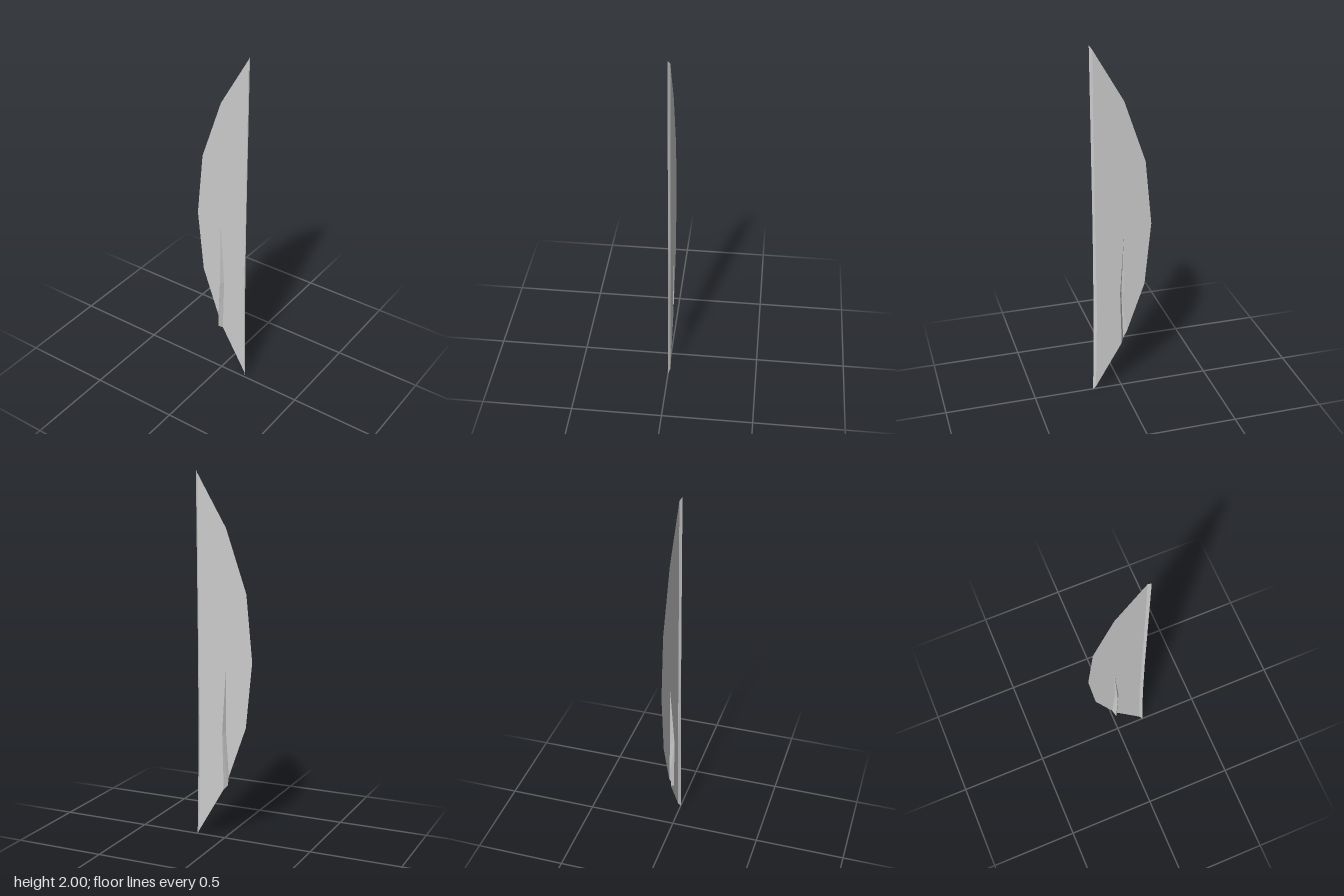
import * as THREE from 'three';

const material = new THREE.MeshStandardMaterial({ color: 0xcccccc, flatShading: true, side: THREE.DoubleSide });
const BACK = -0.012; // depth of the flat blade
const RIDGE = 0.011; // depth of the raised rib crest

// Shared border lines as [x, y], listed from top to bottom
const foldInner = [[0.151, 1.98], [0.146, 1], [0.141, 0.5], [0.151, 0.022]];
const foldOuter = [[0.165, 2], [0.157, 1], [0.157, 0.5], [0.165, 0]];
const curvedEdge = [[-0.013, 1.7], [-0.13, 1.36], [-0.165, 1], [-0.13, 0.64]];
const ribLeft = [[-0.014, 0.97], [-0.014, 0.6], [-0.03, 0.355]];
const ribCrest = [[-0.014, 0.97], [-0.004, 0.6], [-0.015, 0.3]];
const ribRight = [[-0.014, 0.97], [0.009, 0.6], [0, 0.282]];

const at = (line, z) => line.map(([x, y], i) => [x, y, Array.isArray(z) ? z[i] : z]);

// Surface stretched between two lines with equal point counts
function strip(name, a, b) {
  const geometry = new THREE.BufferGeometry();
  const index = [];
  for (let i = 0; i < a.length - 1; i++) {
    const j = i + a.length;
    index.push(i, i + 1, j, j, i + 1, j + 1);
  }
  geometry.setAttribute('position', new THREE.Float32BufferAttribute([...a, ...b].flat(), 3));
  geometry.setIndex(index);
  geometry.computeVertexNormals();
  const mesh = new THREE.Mesh(geometry, material);
  mesh.name = name;
  return mesh;
}

export function createModel() {
  const group = new THREE.Group();
  group.name = 'blade';

  // Flat blade, notched where the hollow rib rises out of it
  const outline = [
    ...curvedEdge,
    ...[...ribLeft].reverse(),
    ...ribRight.slice(1),
    ...[...foldInner].reverse(),
  ].map(([x, y]) => new THREE.Vector2(x, y));
  const sheet = new THREE.Mesh(new THREE.ShapeGeometry(new THREE.Shape(outline)), material);
  sheet.position.z = BACK;
  sheet.name = 'bladeSheet';
  group.add(sheet);

  // Straight edge folded forward
  group.add(strip('foldedEdge', at(foldInner, BACK), at(foldOuter, 0)));

  // Rib tapering up the blade, open at the back and the bottom
  const crest = at(ribCrest, [BACK, RIDGE, RIDGE]);
  group.add(strip('ribLeftSide', at(ribLeft, BACK), crest));
  group.add(strip('ribRightSide', crest, at(ribRight, BACK)));

  return group;
}
